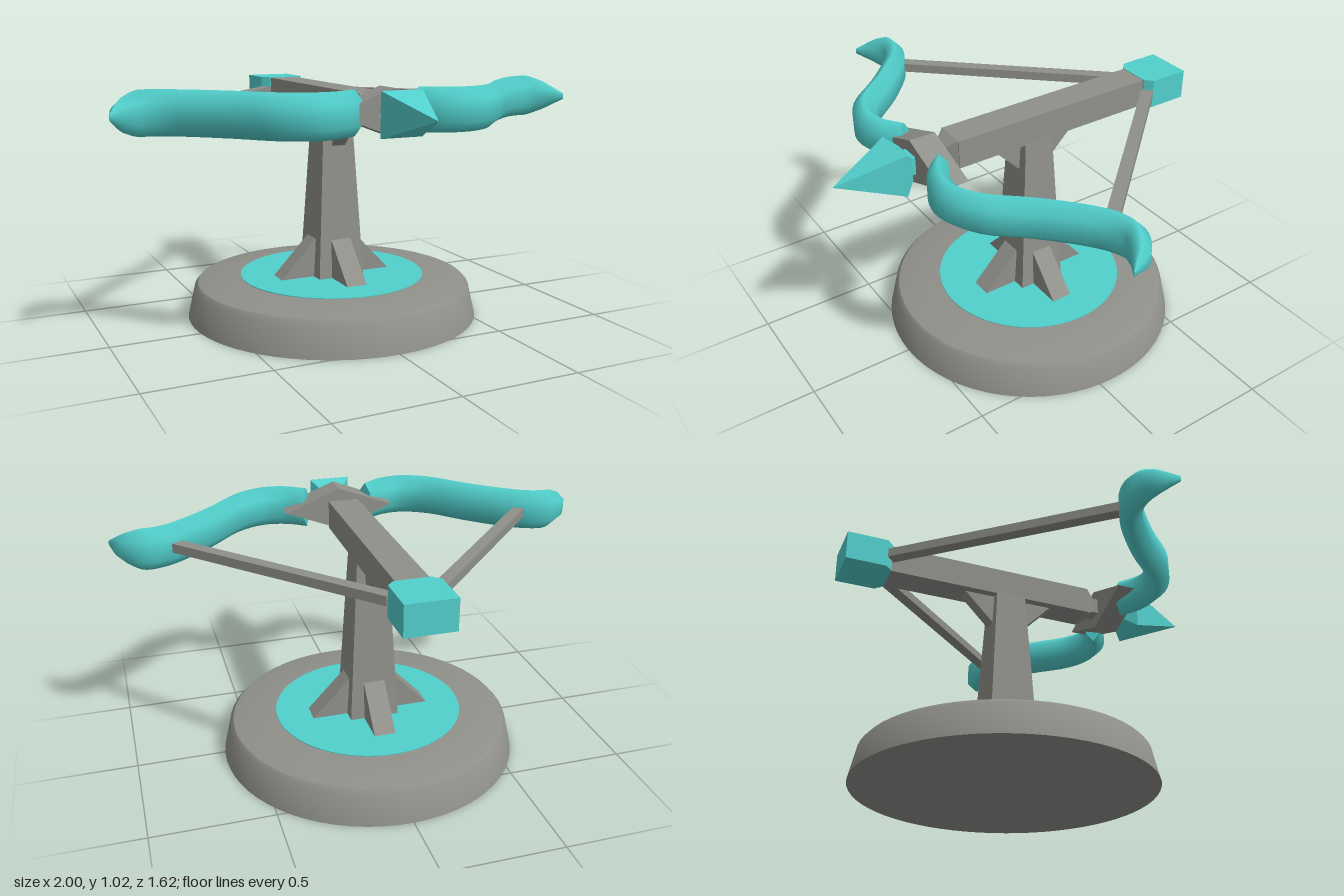
import * as THREE from 'three';
import { toCreasedNormals } from 'three/addons/utils/BufferGeometryUtils.js';

const PIVOT_Z = -0.07; // axis of the base and post
const AXIS_Y = 0.93;   // height of the bow and beam

export function createModel() {
  const model = new THREE.Group();
  const stone = new THREE.MeshStandardMaterial({ color: 0x90908b });
  stone.name = 'grey';
  const teal = new THREE.MeshStandardMaterial({ color: 0x52d0cd });
  teal.name = 'teal';

  function add(name, geometry, material, x = 0, y = 0, z = 0, parent = model) {
    const mesh = new THREE.Mesh(geometry, material);
    mesh.name = name;
    mesh.position.set(x, y, z);
    parent.add(mesh);
    return mesh;
  }

  // Four-sided frustum along y, given half widths at the top and bottom
  function frustum(top, bottom, height) {
    const g = new THREE.CylinderGeometry(top * Math.SQRT2, bottom * Math.SQRT2, height, 4)
      .rotateY(Math.PI / 4).toNonIndexed();
    g.computeVertexNormals();
    return g;
  }

  // Polygon extruded along z, centred on z = 0
  function prism(points, depth) {
    const shape = new THREE.Shape(points.map(([x, y]) => new THREE.Vector2(x, y)));
    return new THREE.ExtrudeGeometry(shape, { depth, bevelEnabled: false }).translate(0, 0, -depth / 2);
  }

  // Round base with a sloping rim
  const profile = [[0, 0], [0.63, 0], [0.6, 0.13], [0.585, 0.147], [0.55, 0.155], [0.41, 0.17], [0, 0.17]]
    .map(([r, y]) => new THREE.Vector2(r, y));
  add('base', toCreasedNormals(new THREE.LatheGeometry(profile, 64), 0.6), stone, 0, 0, PIVOT_Z);
  add('baseDisc', new THREE.CylinderGeometry(0.4, 0.4, 0.006, 64), teal, 0, 0.17, PIVOT_Z);

  // Tapered post with four buttresses
  add('post', frustum(0.065, 0.105, 0.72), stone, 0, 0.52, PIVOT_Z);
  const buttress = prism([[0.05, 0.165], [0.262, 0.165], [0.095, 0.34], [0.05, 0.34]], 0.09);
  for (let i = 0; i < 4; i++) {
    add('buttress', buttress, stone, 0, 0, PIVOT_Z).rotation.y = i * Math.PI / 2;
  }

  // Brackets under the beam, front and back
  const bracket = prism([[0.03, 0.72], [0.07, 0.74], [0.2, 0.872], [0.03, 0.872]], 0.06);
  for (const s of [-1, 1]) {
    add('beamBracket', bracket, stone, 0, 0, PIVOT_Z).rotation.y = s * Math.PI / 2;
  }

  // Beam, its tapered nose and the neck to the bow head
  add('beam', new THREE.BoxGeometry(0.13, 0.12, 0.93), stone, 0, AXIS_Y, -0.16);
  add('beamNose', frustum(0.035, 0.062, 0.04).rotateX(Math.PI / 2), stone, 0, AXIS_Y, 0.325);
  add('neck', new THREE.BoxGeometry(0.07, 0.07, 0.06), stone, 0, AXIS_Y, 0.36);

  // Rear block with clipped front corners
  const block = prism([[-0.1, -0.81], [0.1, -0.81], [0.1, -0.64], [0.07, -0.61], [-0.07, -0.61], [-0.1, -0.64]], 0.125)
    .rotateX(Math.PI / 2);
  add('rearBlock', block, teal, 0, AXIS_Y);

  // Diamond-shaped bow head
  add('bowHead', prism([[0.24, 0], [0, 0.092], [-0.24, 0], [0, -0.092]], 0.11), stone, 0, AXIS_Y, 0.425);

  // Arrowhead: stem, flared back and long point
  const arrow = new THREE.Group();
  arrow.name = 'arrowhead';
  model.add(arrow);
  add('arrowStem', new THREE.BoxGeometry(0.075, 0.075, 0.06), teal, 0, AXIS_Y, 0.48, arrow);
  add('arrowBack', frustum(0.088, 0.05, 0.045).rotateX(Math.PI / 2), teal, 0, AXIS_Y, 0.523, arrow);
  add('arrowPoint', frustum(0, 0.088, 0.26).rotateX(Math.PI / 2), teal, 0, AXIS_Y, 0.675, arrow);

  // Bow arms and strings, mirrored
  for (const s of [1, -1]) {
    const side = s > 0 ? 'left' : 'right';
    add(side + 'BowArm', bowArm(s), teal, 0, AXIS_Y);

    const from = new THREE.Vector3(s * 0.085, AXIS_Y, -0.62);
    const to = new THREE.Vector3(s * 0.755, AXIS_Y, 0.12);
    const string = add(side + 'String', new THREE.BoxGeometry(0.05, 0.038, from.distanceTo(to)), stone);
    string.position.lerpVectors(from, to, 0.5);
    string.lookAt(to);
  }
  return model;
}

// Recurved arm: a six-sided section swept along a curve, tapering to a point
function bowArm(s) {
  // x, z, half width, half height
  const stations = [
    [0.135, 0.43, 0.038, 0.088], [0.22, 0.485, 0.05, 0.088], [0.32, 0.5, 0.056, 0.088],
    [0.44, 0.445, 0.057, 0.088], [0.575, 0.3, 0.055, 0.088], [0.72, 0.17, 0.052, 0.088],
    [0.8, 0.122, 0.05, 0.088], [0.87, 0.11, 0.048, 0.088], [0.94, 0.142, 0.04, 0.064],
    [1.0, 0.22, 0.003, 0.012],
  ];
  const path = new THREE.CatmullRomCurve3(stations.map(([x, z]) => new THREE.Vector3(s * x, 0, z)));
  const size = new THREE.CatmullRomCurve3(stations.map(([, , w, h]) => new THREE.Vector3(w, h, 0)));
  const steps = 36, sides = 6;
  const positions = [], index = [];

  function ring(t) {
    const p = path.getPoint(t), d = path.getTangent(t), { x: w, y: h } = size.getPoint(t);
    for (let j = 0; j < sides; j++) {
      const a = (j + 0.5) * 2 * Math.PI / sides;
      const c = Math.cos(a) * w;
      positions.push(p.x - d.z * c, Math.sin(a) * h, p.z + d.x * c);
    }
  }

  for (let i = 0; i <= steps; i++) ring(i / steps);
  for (let i = 0; i < steps; i++) {
    for (let j = 0; j < sides; j++) {
      const k = (j + 1) % sides;
      const a = i * sides + j, b = i * sides + k;
      index.push(a, a + sides, b, b, a + sides, b + sides);
    }
  }

  // Flat caps on both ends
  const start = positions.length / 3;
  ring(0);
  ring(1);
  for (let j = 1; j < sides - 1; j++) {
    index.push(start, start + j, start + j + 1);
    index.push(start + sides, start + sides + j + 1, start + sides + j);
  }

  const g = new THREE.BufferGeometry();
  g.setAttribute('position', new THREE.Float32BufferAttribute(positions, 3));
  g.setIndex(index);
  g.computeVertexNormals();
  return g;
}
